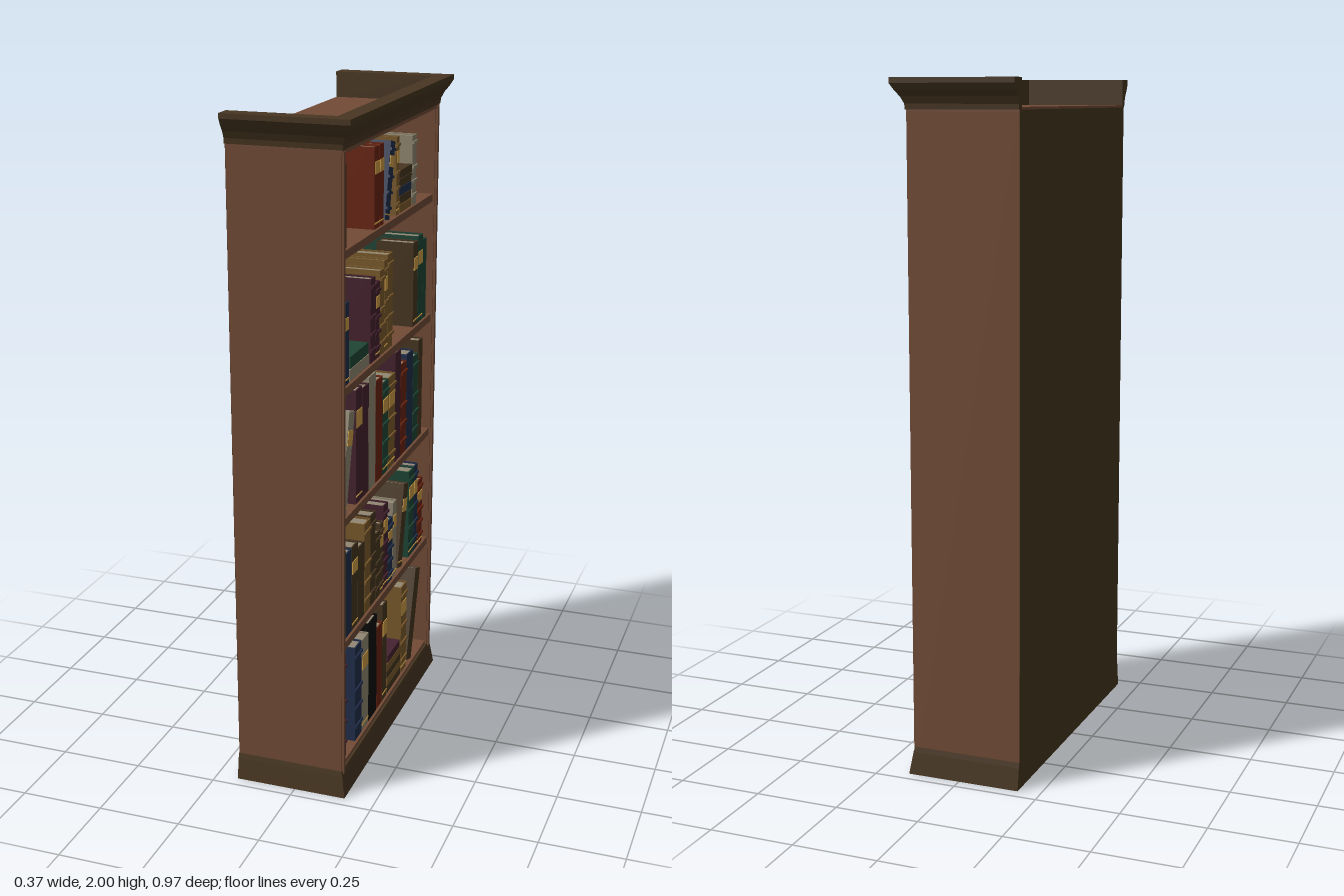
import * as THREE from 'three';

const palette = {
  wood: 0x724b36, trim: 0x483621, red: 0x6a2410, purple: 0x45222f, navy: 0x202f4c,
  green: 0x1f4535, tan: 0x7b5a2c, cream: 0x918872, gold: 0xcf9f45, black: 0x0a0a0a,
};
const M = {};
for (const [name, color] of Object.entries(palette)) {
  M[name] = new THREE.MeshStandardMaterial({ color });
  M[name].name = name;
}

// Box given by its min/max extents on each axis
function box(parent, name, mat, [x0, x1], [y0, y1], [z0, z1]) {
  const m = new THREE.Mesh(new THREE.BoxGeometry(x1 - x0, y1 - y0, z1 - z0), mat);
  m.position.set((x0 + x1) / 2, (y0 + y1) / 2, (z0 + z1) / 2);
  m.name = name;
  parent.add(m);
}

// Moulding swept round the two sides and the open face, with mitred corners.
// The profile lists [outward offset, height], starting at the inner bottom.
function moulding(name, x0, z0, profile) {
  const back = -0.183, n = profile.length, pos = [], idx = [];
  for (const [front, s] of [[0, 1], [1, 1], [1, -1], [0, -1]])
    for (const [d, y] of profile) pos.push(front ? x0 + d : back, y, s * (z0 + d));
  for (let j = 0; j < 3; j++)
    for (let i = 0; i < n; i++) {
      const k = (i + 1) % n;
      const a = j * n + i, b = a + n, c = b - i + k, d = a - i + k;
      idx.push(a, b, c, a, c, d);
    }
  // End caps at the back
  for (let i = 1; i < n - 1; i++) idx.push(0, i, i + 1, 3 * n, 3 * n + i + 1, 3 * n + i);
  const indexed = new THREE.BufferGeometry();
  indexed.setAttribute('position', new THREE.Float32BufferAttribute(pos, 3));
  indexed.setIndex(idx);
  const g = indexed.toNonIndexed();
  g.computeVertexNormals();
  const m = new THREE.Mesh(g, M.trim);
  m.name = name;
  return m;
}

// Upright book standing on its origin, spine towards +x.
// style: 'plain', 'label', 'bands' or 'both'
function book(color, style, h, w, depth = 0.18) {
  const g = new THREE.Group(), mat = M[color];
  g.name = 'book';
  const f = 0.13, b = f - depth, t = Math.min(0.004, w * 0.15), e = w / 2 - 0.0008;
  box(g, 'spine', mat, [f - t, f], [0, h], [-e, e]);
  box(g, 'cover', mat, [b, f - t], [0, h], [e - t, e]);
  box(g, 'cover', mat, [b, f - t], [0, h], [-e, t - e]);
  box(g, 'pages', M.cream, [b + 0.005, f - t], [0.004, h - 0.005], [t - e, e - t]);
  if (style === 'label' || style === 'both') {
    box(g, 'label', M.gold, [f, f + 0.002], [h * 0.67, h * 0.82], [-e * 0.85, e * 0.85]);
    box(g, 'gildedLine', M.gold, [f, f + 0.002], [h * 0.06, h * 0.06 + 0.004], [-e * 0.95, e * 0.95]);
  }
  if (style === 'bands' || style === 'both')
    for (const k of [0.15, 0.35, 0.55, 0.9])
      box(g, 'raisedBand', mat, [f, f + 0.005], [h * k - 0.004, h * k + 0.004], [-e, e]);
  return g;
}

// Five evenly spaced shelves, counted from the bottom
const shelfTop = (i) => 0.09 + i * 0.387;

export function createModel() {
  const root = new THREE.Group();
  root.name = 'bookcase';

  // Carcass: sides with a narrow front bead, top and shelves
  for (const s of [-1, 1]) {
    const span = (a, b) => (s > 0 ? [a, b] : [-b, -a]);
    box(root, 'sidePanel', M.wood, [-0.182, 0.143], [0, 1.91], span(0.427, 0.45));
    box(root, 'sideBead', M.wood, [0.143, 0.15], [0.07, 1.91], span(0.431, 0.446));
  }
  box(root, 'topPanel', M.wood, [-0.182, 0.148], [1.904, 1.922], [-0.45, 0.45]);
  for (let i = 0; i < 5; i++)
    box(root, 'shelf', M.wood, [-0.172, 0.138], [shelfTop(i) - 0.024, shelfTop(i)], [-0.427, 0.427]);

  // Back board with dark plank joints
  box(root, 'backBoard', M.trim, [-0.183, -0.17], [0, 1.915], [-0.449, 0.449]);
  for (let i = -3; i <= 3; i++)
    box(root, 'plankJoint', M.black, [-0.17, -0.168], [0.09, 1.904], [i * 0.112 - 0.0025, i * 0.112 + 0.0025]);

  // Plinth and cornice, both open at the back
  root.add(moulding('plinth', 0.121, 0.429,
    [[0, 0], [0.037, 0], [0.034, 0.02], [0.027, 0.065], [0.024, 0.08], [0, 0.08]]));
  root.add(moulding('cornice', 0.13, 0.435,
    [[0, 1.915], [0.02, 1.915], [0.021, 1.93], [0.03, 1.95], [0.041, 1.965], [0.052, 1.985], [0.052, 2], [0, 2]]));

  // Books side by side from z towards -z: [colour, style, height, thickness, depth]
  const row = (shelf, z, ...list) => {
    for (const [color, style, h, w = 0.056, depth] of list) {
      const b = book(color, style, h, w, depth);
      b.position.set(0, shelfTop(shelf), z - w / 2);
      root.add(b);
      z -= w;
    }
  };
  // One book tipped towards -z, resting on its lower edge
  const leaning = (shelf, z, angle, color, style, h, w) => {
    const b = book(color, style, h, w);
    b.rotation.x = -angle;
    b.position.set(0, shelfTop(shelf) + (w / 2) * Math.sin(angle), z);
    root.add(b);
  };
  // Books lying flat, from the bottom up: [colour, length]
  const pile = (shelf, z, t, ...list) => {
    list.forEach(([color, length], i) => {
      const b = book(color, 'plain', length, t);
      b.rotation.x = Math.PI / 2;
      b.position.set(0, shelfTop(shelf) + (i + 0.5) * t, z - length / 2);
      root.add(b);
    });
  };

  // Bottom shelf
  row(0, 0.427, ['purple', 'bands', 0.334]);
  row(0, 0.289, ['navy', 'bands', 0.313, 0.062], ['cream', 'label', 0.308, 0.066],
    ['black', 'plain', 0.334, 0.08], ['red', 'plain', 0.281], ['trim', 'label', 0.334, 0.046]);
  pile(0, -0.098, 0.026, ['trim', 0.14], ['tan', 0.137], ['trim', 0.14], ['tan', 0.145], ['purple', 0.125]);
  row(0, -0.172, ['tan', 'both', 0.308, 0.06]);
  leaning(0, -0.263, 0.31, 'trim', 'plain', 0.308, 0.055);

  // Second shelf
  row(1, 0.427, ['green', 'plain', 0.276], ['navy', 'plain', 0.265, 0.05], ['trim', 'label', 0.265],
    ['trim', 'plain', 0.24, 0.06], ['tan', 'bands', 0.292], ['trim', 'bands', 0.297, 0.05],
    ['trim', 'bands', 0.218, 0.045], ['trim', 'both', 0.234, 0.03], ['purple', 'both', 0.281, 0.045],
    ['navy', 'both', 0.212, 0.05], ['cream', 'label', 0.255, 0.04]);
  leaning(1, -0.15, 0.23, 'trim', 'label', 0.272, 0.048);
  row(1, -0.241, ['green', 'both', 0.297], ['navy', 'both', 0.297, 0.04], ['red', 'both', 0.228]);

  // Middle shelf
  leaning(2, 0.392, 0.25, 'cream', 'label', 0.298, 0.05);
  row(2, 0.286, ['purple', 'label', 0.345], ['purple', 'plain', 0.334, 0.06], ['cream', 'plain', 0.35, 0.064],
    ['red', 'plain', 0.318, 0.066], ['green', 'both', 0.292], ['tan', 'both', 0.292, 0.068],
    ['purple', 'plain', 0.35], ['red', 'bands', 0.297, 0.06], ['navy', 'plain', 0.313, 0.068],
    ['green', 'bands', 0.286], ['trim', 'plain', 0.324, 0.046]);

  // Fourth shelf
  row(3, 0.425, ['tan', 'label', 0.228, 0.022], ['navy', 'label', 0.234]);
  pile(3, 0.255, 0.036, ['cream', 0.172], ['green', 0.155]);
  row(3, 0.158, ['purple', 'bands', 0.25, 0.043], ['purple', 'both', 0.228, 0.042],
    ['tan', 'bands', 0.255, 0.041], ['tan', 'both', 0.276, 0.031], ['tan', 'bands', 0.286, 0.05]);
  row(3, -0.257, ['trim', 'label', 0.265, 0.048, 0.12], ['green', 'label', 0.276, 0.052], ['green', 'plain', 0.255, 0.04]);

  // Top shelf
  row(4, 0.427, ['cream', 'both', 0.225, 0.026], ['trim', 'plain', 0.23, 0.036]);
  row(4, 0.13, ['red', 'label', 0.233, 0.046], ['red', 'label', 0.233, 0.04]);
  leaning(4, 0.012, 0.235, 'navy', 'both', 0.225, 0.044);
  row(4, -0.074, ['tan', 'both', 0.23, 0.026]);
  pile(4, -0.167, 0.0255, ['tan', 0.12], ['trim', 0.11], ['navy', 0.12], ['trim', 0.12], ['trim', 0.122]);
  row(4, -0.231, ['cream', 'bands', 0.21, 0.043]);
  return root;
}
